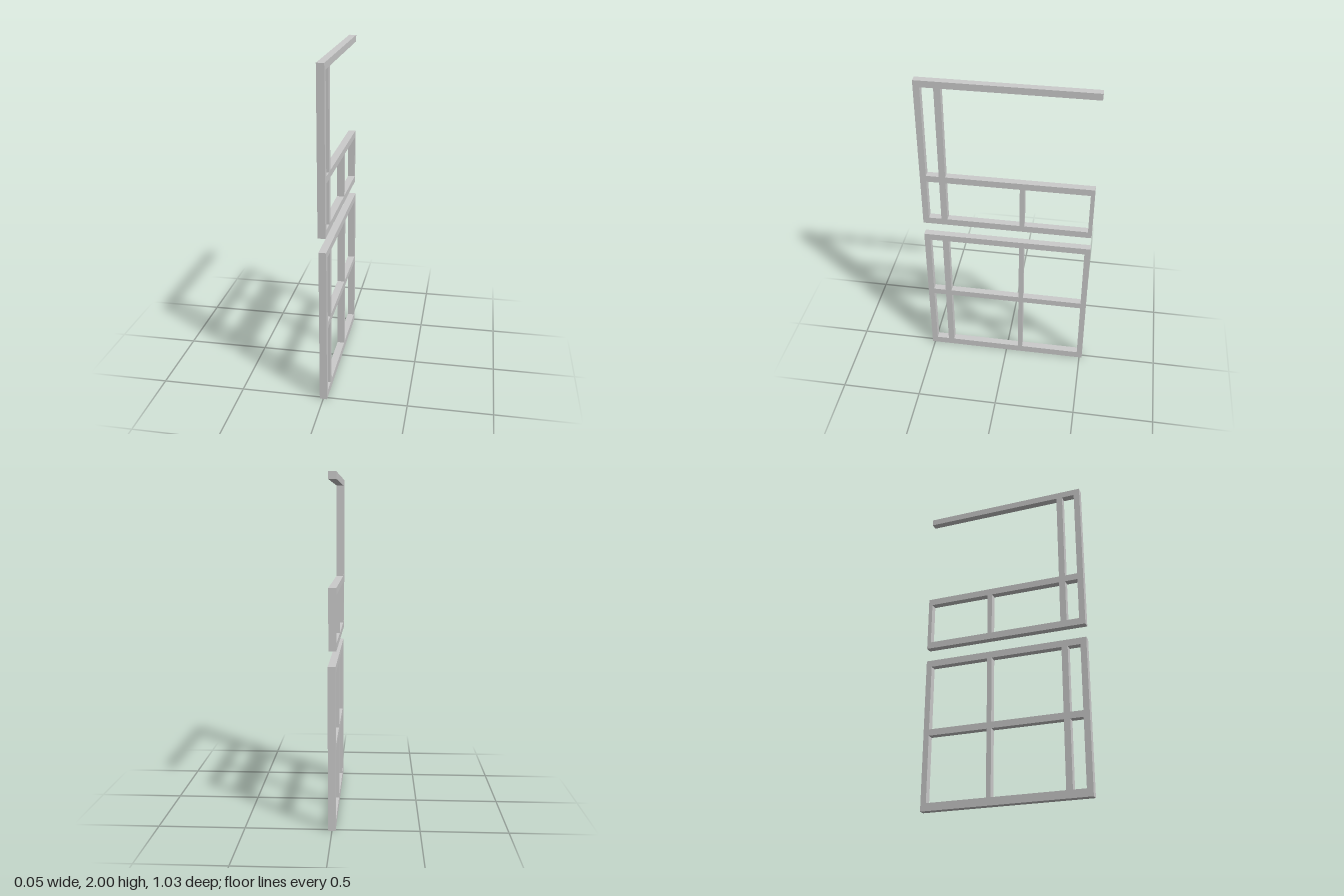
import * as THREE from 'three';

const material = new THREE.MeshStandardMaterial({ color: 0xcccccc, flatShading: true });

// Closed rectangle in the (z, y) plane
function rect(Type, z0, z1, y0, y1) {
  return new Type([[z0, y0], [z1, y0], [z1, y1], [z0, y1]].map(p => new THREE.Vector2(...p)));
}

// Extrude a (z, y) outline with rectangular openings across x0..x1
function frame(name, shape, openings, x0, x1) {
  for (const o of openings) shape.holes.push(rect(THREE.Path, ...o));
  const geometry = new THREE.ExtrudeGeometry(shape, { depth: x1 - x0, bevelEnabled: false });
  geometry.rotateY(-Math.PI / 2);
  geometry.translate(x1, 0, 0);
  const mesh = new THREE.Mesh(geometry, material);
  mesh.name = name;
  return mesh;
}

export function createModel() {
  const group = new THREE.Group();
  group.name = 'windowFrame';

  const front = 0.517, back = -0.517;
  // Openings between the stiles, from back to front
  const bays = [[-0.482, -0.108], [-0.079, 0.364], [0.402, 0.48]];

  // Lower panel: two rows of openings
  const lowerOpenings = [[0.047, 0.455], [0.495, 0.906]].flatMap(
    row => bays.map(bay => [...bay, ...row]));
  group.add(frame('lowerFrame', rect(THREE.Shape, back, front, 0, 0.948), lowerOpenings, -0.021, 0.023));

  // Upper panel: closed row below, open at the back under the top rail
  const upper = new THREE.Shape([
    [back, 1.033], [front, 1.033], [front, 2], [back, 2],
    [back, 1.96], [0.364, 1.96], [0.364, 1.382], [back, 1.382],
  ].map(p => new THREE.Vector2(...p)));
  const upperOpenings = bays.map(([z0, z1], i) => [i === 0 ? -0.493 : z0, z1, 1.075, 1.341]);
  upperOpenings.push([0.402, 0.48, 1.382, 1.96]);
  group.add(frame('upperFrame', upper, upperOpenings, -0.025, 0.019));

  return group;
}
